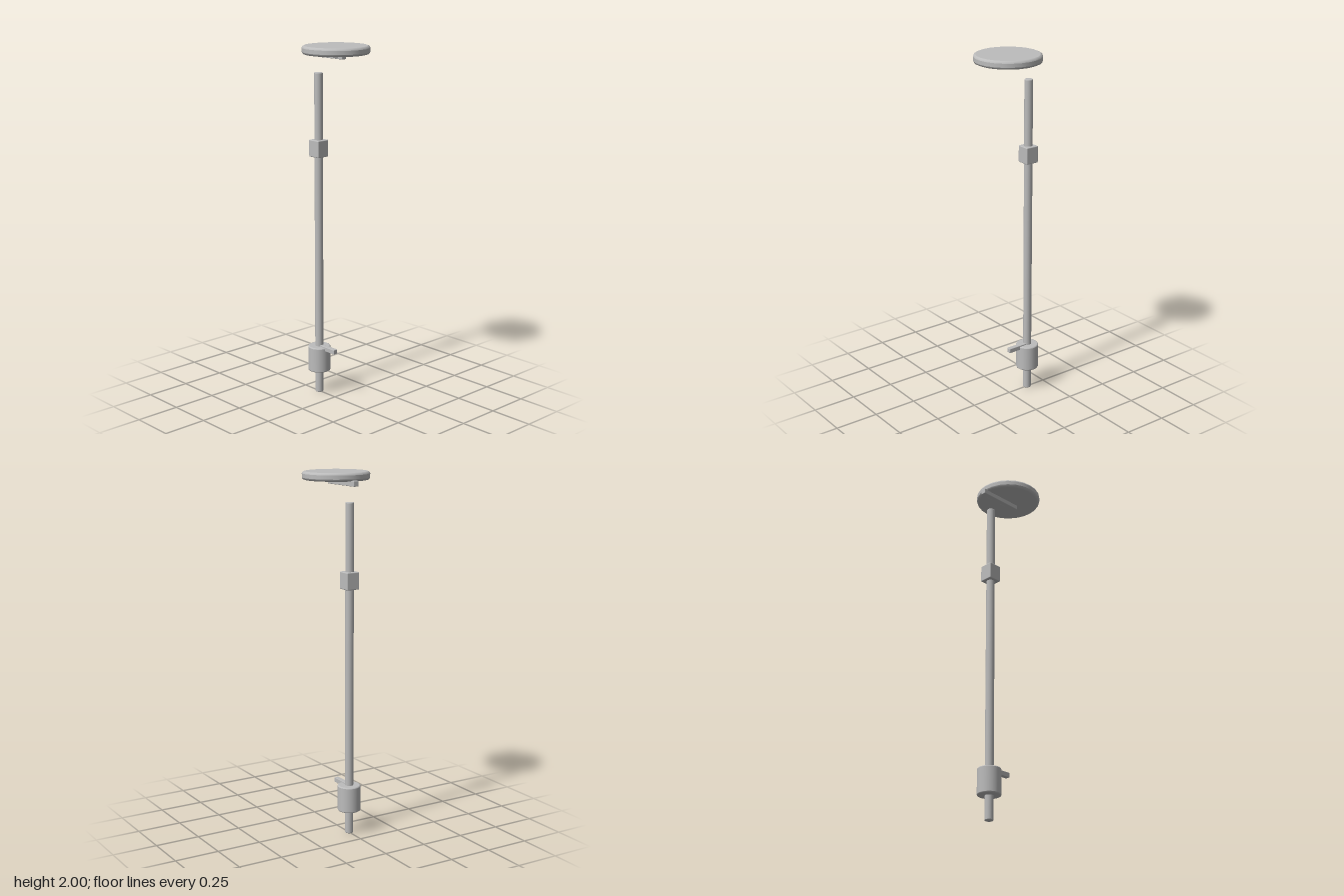
import * as THREE from 'three';
import { RoundedBoxGeometry } from 'three/addons/geometries/RoundedBoxGeometry.js';

const POLE_X = -0.13;

export function createModel() {
  const model = new THREE.Group();
  const metal = new THREE.MeshStandardMaterial({ color: 0xbcbcbc });
  metal.name = 'grey metal';

  const add = (name, geometry, x, y, z = 0) => {
    const mesh = new THREE.Mesh(geometry, metal);
    mesh.name = name;
    mesh.position.set(x, y, z);
    model.add(mesh);
  };

  // Round part standing on its base, with a softened rim of size b
  const round = (r, h, b, sides) => {
    const k = b * 0.3;
    const pts = [[0, 0], [r - b, 0], [r - b, 0], [r - k, k], [r, b], [r, b],
      [r, h - b], [r, h - b], [r - k, h - k], [r - b, h], [r - b, h], [0, h]];
    return new THREE.LatheGeometry(pts.map(([x, y]) => new THREE.Vector2(x, y)), sides);
  };

  // Upright pole with its sliding block and lower collar
  add('pole', round(0.0235, 1.845, 0.004, 16), POLE_X, 0);
  add('slidingBlock', new RoundedBoxGeometry(0.077, 0.095, 0.077, 2, 0.005), POLE_X, 1.428);
  add('collar', round(0.064, 0.147, 0.006, 24), POLE_X, 0.133);

  // Short lever reaching sideways from the collar
  add('lever', new RoundedBoxGeometry(0.135, 0.027, 0.027, 2, 0.003), -0.0625, 0.2735);

  // Round top plate carried on a flat bar
  add('topBar', new RoundedBoxGeometry(0.263, 0.03, 0.03, 2, 0.003), -0.0615, 1.945);
  add('topPlate', round(0.183, 0.045, 0.012, 24), 0.008, 1.955);

  return model;
}
